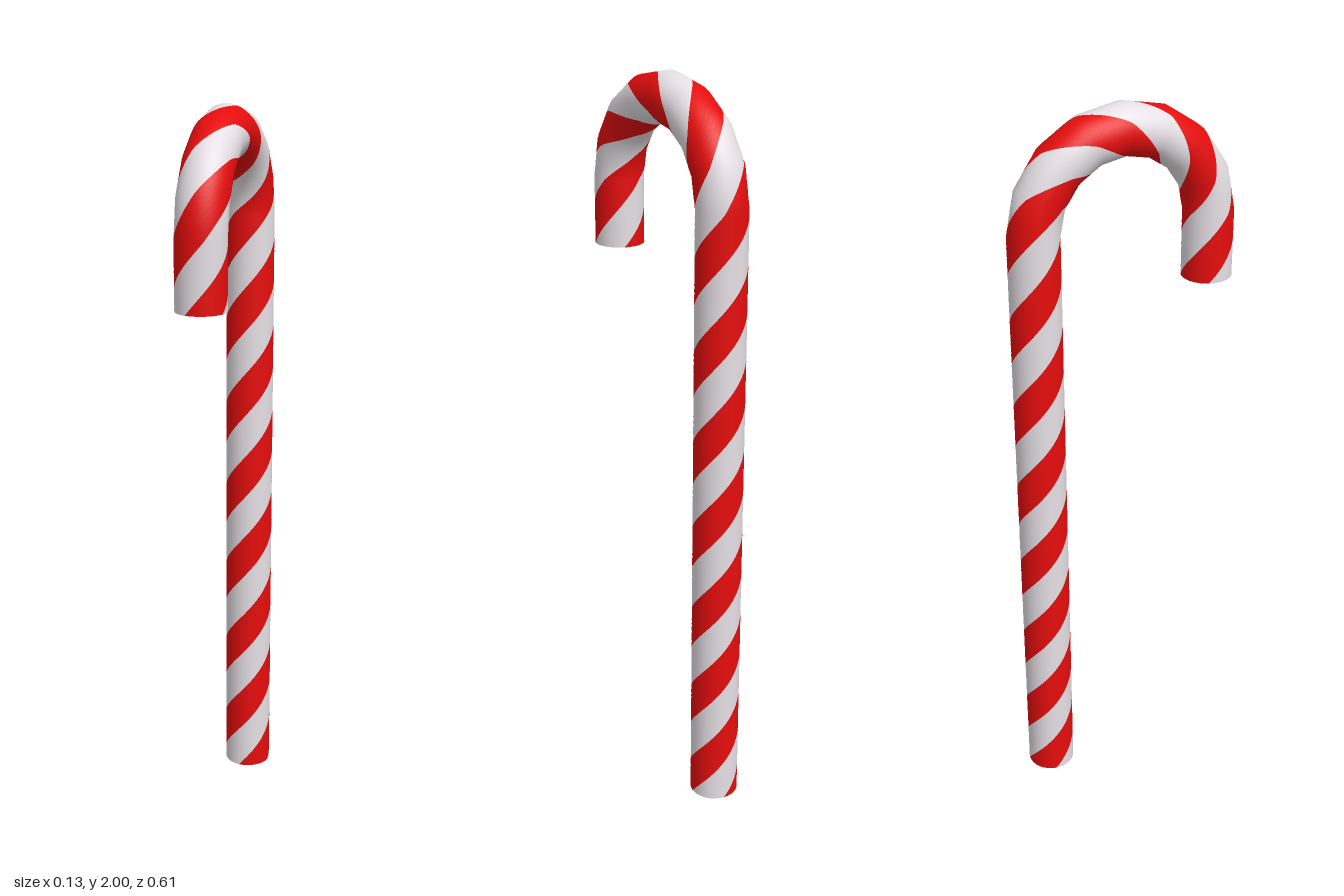
import * as THREE from 'three';

const RADIUS = 0.067;     // thickness of the cane
const BEND = 0.24;        // radius of the crook
const BEND_Y = 1.692;     // height where the crook starts
const TIP_Y = 1.51;       // height of the short end
const BEND_STEPS = 8;
const PITCH = 0.246;      // stripe spacing along the cane
const START = 0.2;        // stripe phase at the foot

// Stations along the centre line: position, inward direction, distance
function makeStations() {
  const list = [{ y: 0, z: -BEND, t: 0 }];
  for (let i = 0; i <= BEND_STEPS; i++) {
    const t = (i / BEND_STEPS) * Math.PI;
    list.push({ y: BEND_Y + BEND * Math.sin(t), z: -BEND * Math.cos(t), t });
  }
  list.push({ y: TIP_Y, z: BEND, t: Math.PI });
  let s = 0;
  list.forEach((p, i) => {
    if (i) s += Math.hypot(p.y - list[i - 1].y, p.z - list[i - 1].z);
    p.s = s;
  });
  return list;
}

// Point and normal on the tube at distance s and angle phi (0 = inner side)
function surfaceAt(stations, s, phi) {
  let k = 0;
  while (k < stations.length - 2 && s > stations[k + 1].s) k++;
  const a = stations[k], b = stations[k + 1];
  const f = (s - a.s) / (b.s - a.s);
  const ring = (p) => new THREE.Vector3(
    Math.sin(phi), -Math.sin(p.t) * Math.cos(phi), Math.cos(p.t) * Math.cos(phi));
  const na = ring(a), nb = ring(b);
  const pa = na.clone().multiplyScalar(RADIUS).add(new THREE.Vector3(0, a.y, a.z));
  const pb = nb.clone().multiplyScalar(RADIUS).add(new THREE.Vector3(0, b.y, b.z));
  return { point: pa.lerp(pb, f), normal: na.lerp(nb, f).normalize() };
}

// One quarter-turn-wide ribbon that winds along the whole cane
function stripeGeometry(stations, offset) {
  const total = stations[stations.length - 1].s;
  const rows = 260, cols = 8;
  const positions = [], normals = [], index = [];
  for (let i = 0; i <= rows; i++) {
    const s = (i / rows) * total;
    const middle = (START + s / PITCH) * Math.PI + offset;
    for (let j = 0; j <= cols; j++) {
      const phi = middle + (j / cols - 0.5) * Math.PI / 2;
      const { point, normal } = surfaceAt(stations, s, phi);
      positions.push(...point.toArray());
      normals.push(...normal.toArray());
      if (i < rows && j < cols) {
        const a = i * (cols + 1) + j, d = a + cols + 1;
        index.push(a, a + 1, d + 1, a, d + 1, d);
      }
    }
  }
  const geometry = new THREE.BufferGeometry();
  geometry.setAttribute('position', new THREE.Float32BufferAttribute(positions, 3));
  geometry.setAttribute('normal', new THREE.Float32BufferAttribute(normals, 3));
  geometry.setIndex(index);
  return geometry;
}

export function createModel() {
  const red = new THREE.MeshStandardMaterial({ color: 0xe60d0d });
  red.name = 'candy red';
  const white = new THREE.MeshStandardMaterial({ color: 0xe6e0e4 });
  white.name = 'sugar white';

  const model = new THREE.Group();
  model.name = 'candyCane';
  const stations = makeStations();

  // Two red and two white ribbons, alternating around the cane
  for (let i = 0; i < 4; i++) {
    const isRed = i % 2 === 0;
    const stripe = new THREE.Mesh(
      stripeGeometry(stations, i * Math.PI / 2), isRed ? red : white);
    stripe.name = (isRed ? 'redStripe' : 'whiteStripe') + (i < 2 ? 'A' : 'B');
    model.add(stripe);
  }

  // Flat ends, both facing down
  const ends = [['footCap', 0, -BEND], ['tipCap', TIP_Y, BEND]];
  for (const [name, y, z] of ends) {
    const cap = new THREE.Mesh(new THREE.CircleGeometry(RADIUS, 32), white);
    cap.name = name;
    cap.rotation.x = Math.PI / 2;
    cap.position.set(0, y, z);
    model.add(cap);
  }
  return model;
}
